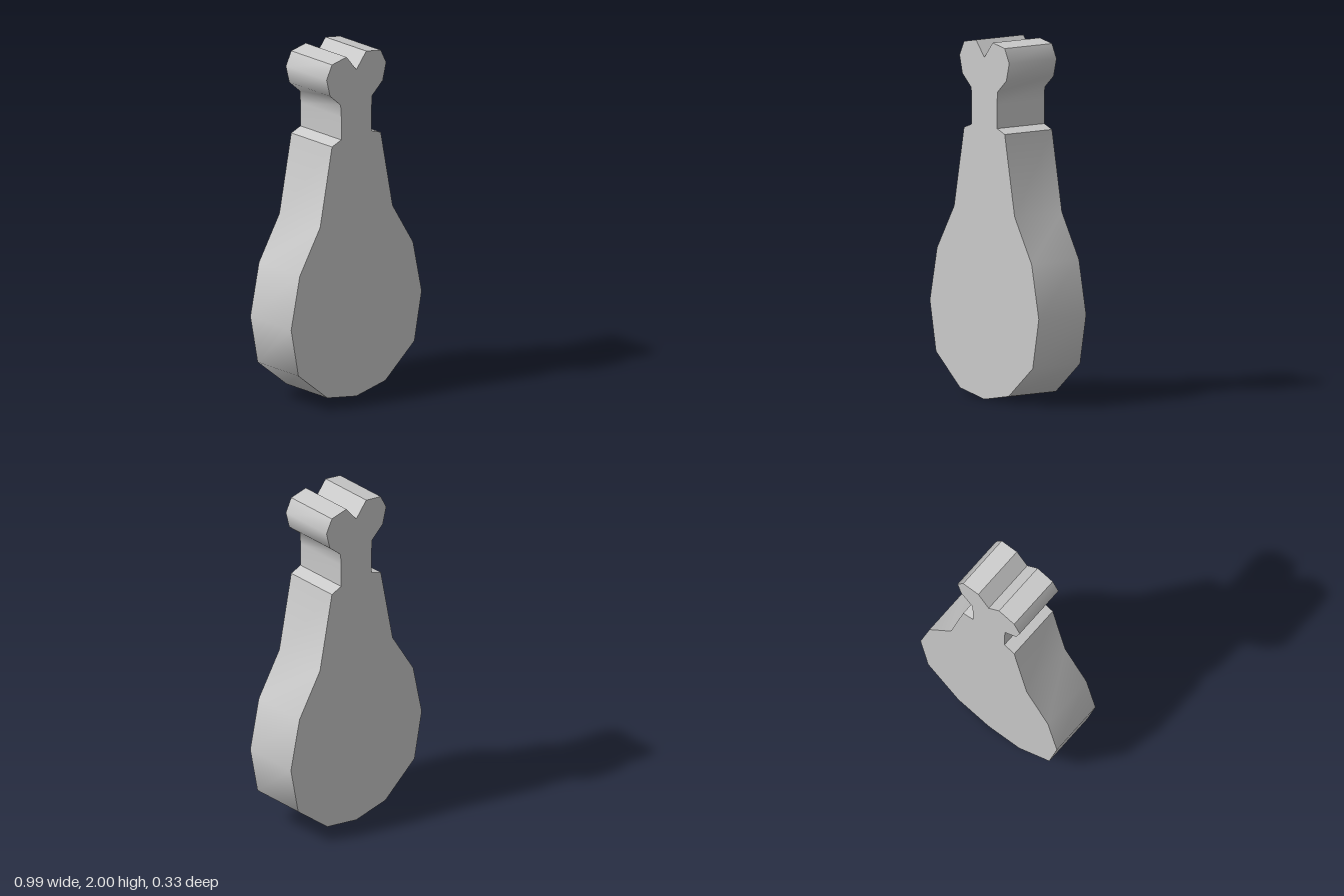
import * as THREE from 'three';
import { toCreasedNormals } from 'three/addons/utils/BufferGeometryUtils.js';

const DEPTH = 0.33;

// Half outline, from the bottom tip up to the notch between the bone knobs
const halfOutline = [
  [0, 0], [0.22, 0.04], [0.44, 0.22], [0.495, 0.5], [0.43, 0.8], [0.275, 1.05], // meat
  [0.185, 1.5], [0.115, 1.525], // shoulder
  [0.115, 1.66], [0.12, 1.73], // bone shaft
  [0.2, 1.8], [0.226, 1.9], [0.185, 1.98], [0.075, 2], [0, 1.91], // knob and notch
];

export function createModel() {
  const group = new THREE.Group();
  group.name = 'drumstick';

  // Mirror the half outline into a closed silhouette
  const mirrored = halfOutline.slice(1, -1).reverse().map(([x, y]) => [-x, y]);
  const outline = [...halfOutline, ...mirrored].map(([x, y]) => new THREE.Vector2(x, y));

  // Flat slab with a softly shaded rim and sharp corners
  const slab = new THREE.ExtrudeGeometry(new THREE.Shape(outline), { depth: DEPTH, bevelEnabled: false });
  slab.translate(0, 0, -DEPTH / 2);
  const body = new THREE.Mesh(
    toCreasedNormals(slab, 0.8),
    new THREE.MeshStandardMaterial({ color: 0xcccccc }),
  );
  body.name = 'meatAndBone';
  group.add(body);

  return group;
}
